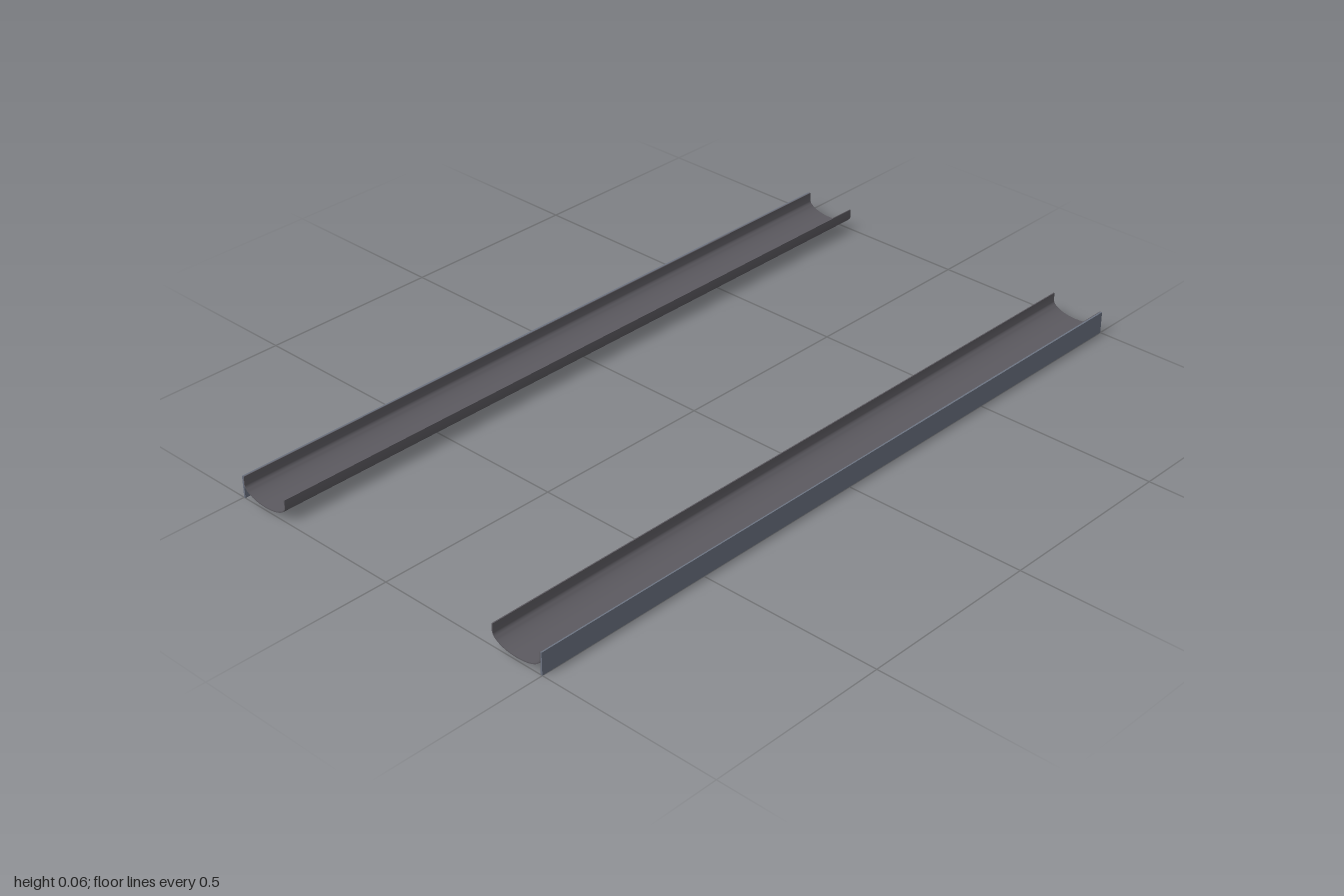
import * as THREE from 'three';
import { toCreasedNormals } from 'three/addons/utils/BufferGeometryUtils.js';

const LENGTH = 2, TOP = 0.06, SPRING = 0.04;
const TROUGH_X = 0.421, HALF_WIDTH = 0.075, DEPTH = 0.033, WALL = 0.003;

// Thin U section: straight lips above a half-elliptical bottom
function troughGeometry() {
  const inner = HALF_WIDTH - WALL;
  const shape = new THREE.Shape();
  shape.moveTo(-HALF_WIDTH, TOP);
  shape.lineTo(-HALF_WIDTH, SPRING);
  shape.absellipse(0, SPRING, HALF_WIDTH, DEPTH, Math.PI, Math.PI * 2, false);
  shape.lineTo(HALF_WIDTH, TOP);
  shape.lineTo(inner, TOP);
  shape.lineTo(inner, SPRING);
  shape.absellipse(0, SPRING, inner, DEPTH - WALL, 0, Math.PI, true);
  shape.lineTo(-inner, TOP);
  shape.closePath();
  const geometry = new THREE.ExtrudeGeometry(shape, {
    depth: LENGTH, bevelEnabled: false, curveSegments: 12,
  });
  geometry.translate(0, 0, -LENGTH / 2);
  return toCreasedNormals(geometry, Math.PI / 5);
}

export function createModel() {
  const model = new THREE.Group();
  model.name = 'gutters';
  const troughMaterial = new THREE.MeshStandardMaterial({ color: 0x5c5a60 });
  const boardMaterial = new THREE.MeshStandardMaterial({ color: 0x6b7280 });
  const trough = troughGeometry();
  const board = new THREE.BoxGeometry(0.005, TOP, LENGTH);

  for (const [side, s] of [['left', 1], ['right', -1]]) {
    const gutter = new THREE.Group();
    gutter.name = `${side}Gutter`;

    // Channel
    const channel = new THREE.Mesh(trough, troughMaterial);
    channel.name = `${side}Trough`;
    channel.position.x = s * TROUGH_X;

    // Flat board along the outer edge
    const fascia = new THREE.Mesh(board, boardMaterial);
    fascia.name = `${side}OuterBoard`;
    fascia.position.set(s * 0.4975, TOP / 2, 0);

    gutter.add(channel, fascia);
    model.add(gutter);
  }
  return model;
}
